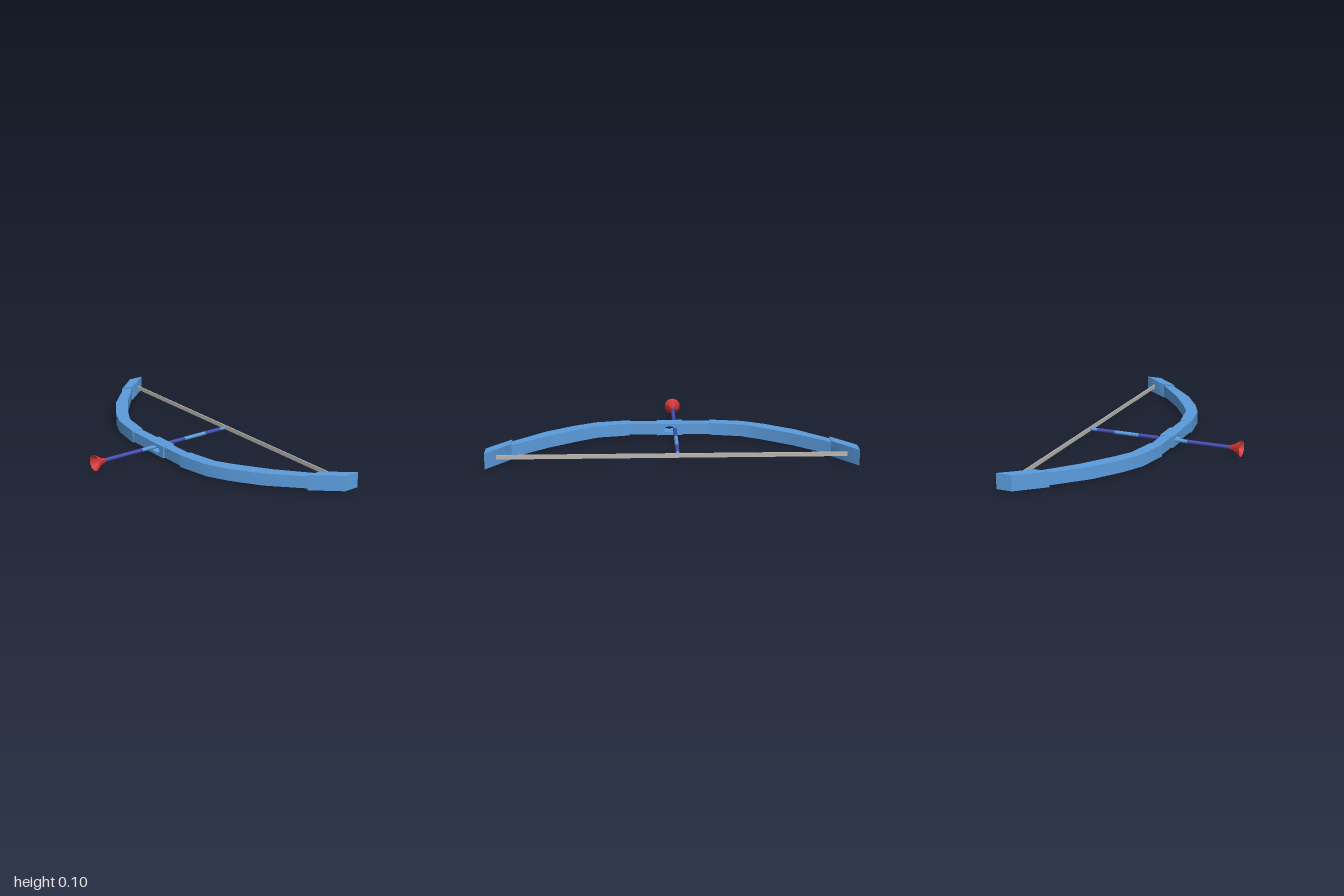
import * as THREE from 'three';
import { toCreasedNormals } from 'three/addons/utils/BufferGeometryUtils.js';

const mat = (name, color, extra = {}) => {
  const m = new THREE.MeshStandardMaterial({ color, ...extra });
  m.name = name;
  return m;
};

export function createModel() {
  const group = new THREE.Group();
  const blue = mat('bow blue', 0x5a9bdc);
  const indigo = mat('shaft indigo', 0x444bb0);
  const red = mat('suction cup red', 0xd03434, { side: THREE.DoubleSide });
  const grey = mat('string grey', 0xbab7b2);
  const midY = 0.05;

  const add = (name, geometry, material, x = 0, y = midY, z = 0) => {
    const mesh = new THREE.Mesh(geometry, material);
    mesh.name = name;
    mesh.position.set(x, y, z);
    group.add(mesh);
    return mesh;
  };

  // Upright slab from an outline of [x, z] points, mirrored by side
  const slab = (points, side, height) => {
    const shape = new THREE.Shape(points.map(([x, z]) => new THREE.Vector2(x * side, z)));
    const g = new THREE.ExtrudeGeometry(shape, { depth: height, bevelEnabled: false });
    g.rotateX(Math.PI / 2).translate(0, height / 2, 0);
    return toCreasedNormals(g, 0.7);
  };

  // Curved limbs, end blocks and the slimmer necks beside the grip
  const limb = [
    [0.23, 0.104], [0.417, 0.07], [0.54, 0.01], [0.7, -0.097], [0.872, -0.265],
    [0.872, -0.335], [0.68, -0.172], [0.513, -0.06], [0.408, 0], [0.23, 0.034],
  ];
  const tip = [[0.872, -0.26], [1, -0.41], [1, -0.5], [0.872, -0.342]];
  for (const [label, side] of [['left', 1], ['right', -1]]) {
    add(label + 'Limb', slab(limb, side, 0.07), blue);
    add(label + 'Tip', slab(tip, side, 0.088), blue);
    add(label + 'Neck', new THREE.BoxGeometry(0.17, 0.062, 0.06), blue, side * 0.15, midY, 0.068);
  }

  // Grip block with an oval opening that the arrow passes through
  const face = new THREE.Shape();
  face.moveTo(-0.073, -0.034).lineTo(0.073, -0.034).lineTo(0.073, 0.034).lineTo(-0.073, 0.034);
  face.holes.push(new THREE.Path().absellipse(0, 0, 0.039, 0.018, 0, Math.PI * 2, true));
  const gripGeo = new THREE.ExtrudeGeometry(face, { depth: 0.078, bevelEnabled: false, curveSegments: 12 });
  add('grip', toCreasedNormals(gripGeo, 0.9), blue, 0, midY, 0.029);

  // Bow string
  add('string', new THREE.BoxGeometry(1.89, 0.024, 0.007), grey, 0, midY, -0.43);

  // Banded arrow shaft, from the nock forward
  const stops = [-0.425, -0.38, -0.27, -0.12, 0.03, 0.18, 0.44];
  for (let i = 0; i < stops.length - 1; i++) {
    const length = stops[i + 1] - stops[i];
    const radius = i === 0 ? 0.009 : 0.011;
    const g = new THREE.CylinderGeometry(radius, radius, length, 12).rotateX(Math.PI / 2);
    add('shaftBand' + (i + 1), g, i % 2 ? indigo : blue, -0.03, midY, (stops[i] + stops[i + 1]) / 2);
  }

  // Deep hollow suction cup on the arrow's front end
  const profile = [[0, 0.428], [0.012, 0.43], [0.018, 0.453], [0.048, 0.5],
    [0.02, 0.459], [0, 0.459]].map(([r, z]) => new THREE.Vector2(r, z));
  const cup = new THREE.LatheGeometry(profile, 10).rotateX(Math.PI / 2);
  add('suctionCup', toCreasedNormals(cup, 0.7), red, -0.03);

  return group;
}
